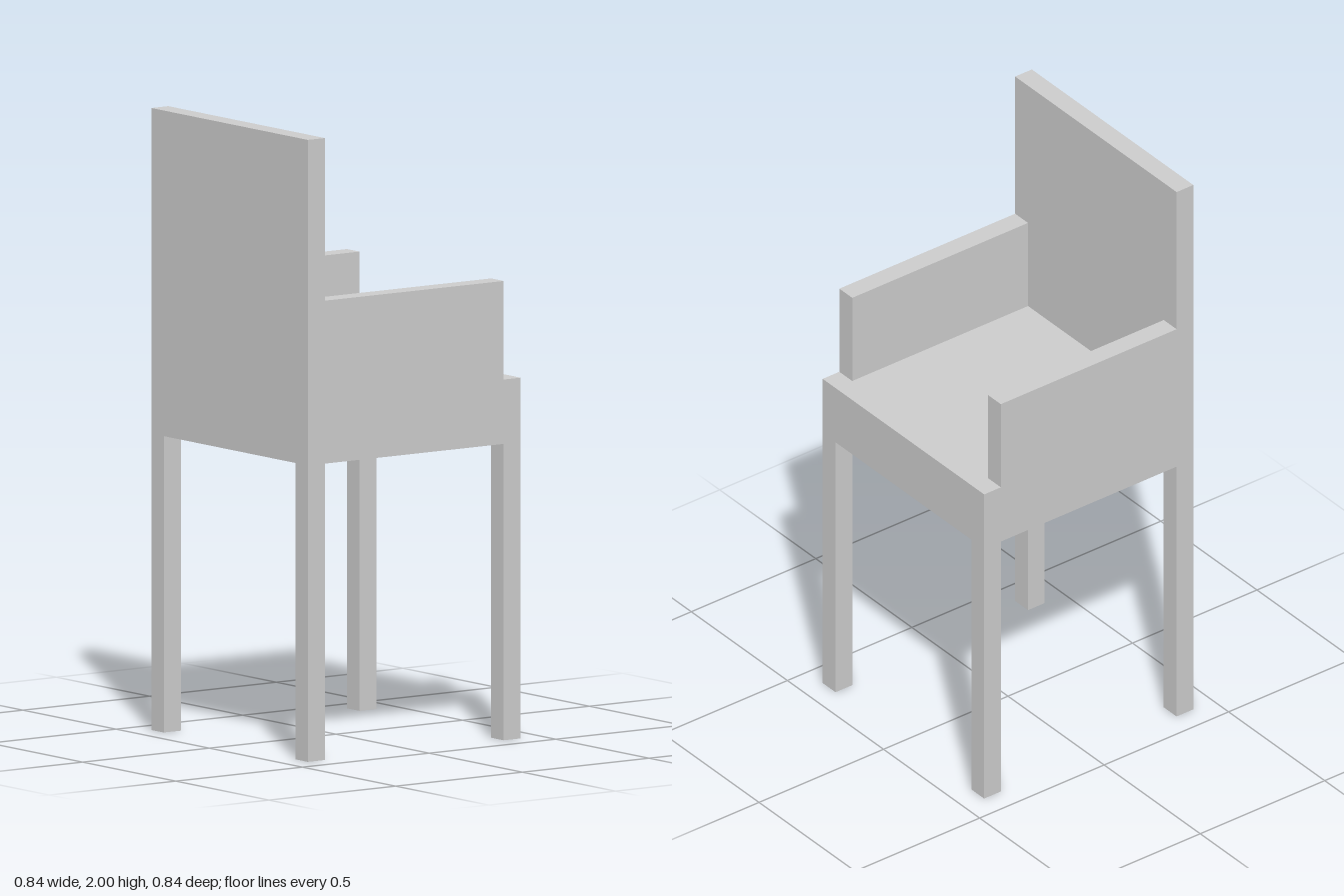
import * as THREE from 'three';

const HALF = 0.42;      // half width and depth of the chair
const T = 0.067;        // thickness of legs, arms and back
const SEAT_BOTTOM = 0.953;
const SEAT_TOP = 1.16;
const ARM_TOP = 1.477;
const BACK_TOP = 2;

export function createModel() {
  const chair = new THREE.Group();
  chair.name = 'armchair';
  const material = new THREE.MeshStandardMaterial({ color: 0xcccccc });

  // Box given by its lower and upper corners
  function addBox(name, [x0, y0, z0], [x1, y1, z1]) {
    const mesh = new THREE.Mesh(new THREE.BoxGeometry(x1 - x0, y1 - y0, z1 - z0), material);
    mesh.position.set((x0 + x1) / 2, (y0 + y1) / 2, (z0 + z1) / 2);
    mesh.name = name;
    chair.add(mesh);
  }

  const inner = HALF - T;

  // Thick seat block and tall backrest on the +z edge
  addBox('seat', [-HALF, SEAT_BOTTOM, -HALF], [HALF, SEAT_TOP, HALF]);
  addBox('backrest', [-HALF, SEAT_TOP, inner], [HALF, BACK_TOP, HALF]);

  // Armrests and square legs, mirrored left and right
  for (const [side, x] of [['left', inner], ['right', -HALF]]) {
    addBox(side + 'Armrest', [x, SEAT_TOP, -inner], [x + T, ARM_TOP, inner]);
    for (const [end, z] of [['Backrest', inner], ['Open', -HALF]]) {
      addBox(side + end + 'Leg', [x, 0, z], [x + T, SEAT_BOTTOM, z + T]);
    }
  }

  return chair;
}
